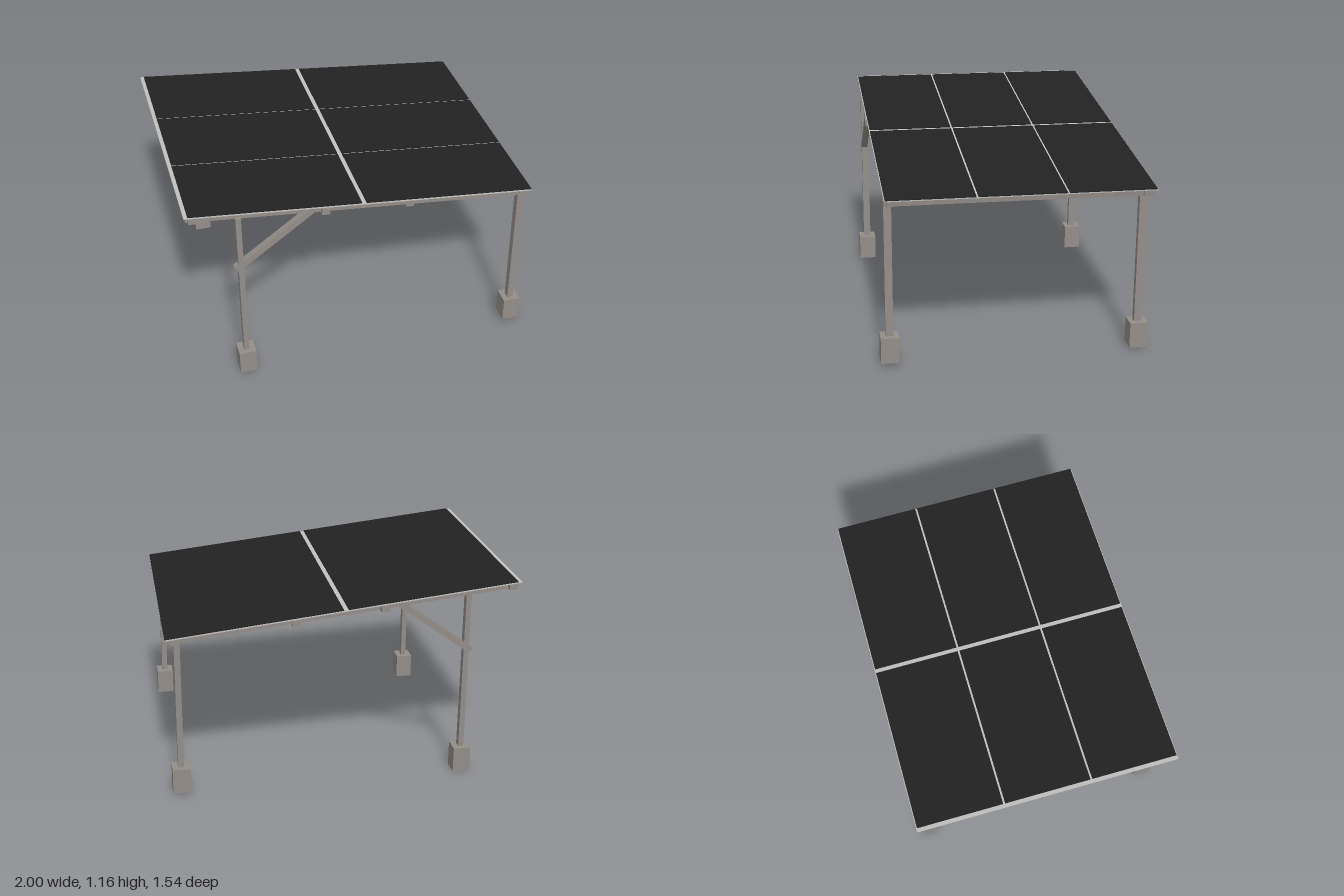
import * as THREE from 'three';

const steel = new THREE.MeshStandardMaterial({ color: 0x948e88 });
steel.name = 'warm grey steel';
const backing = new THREE.MeshStandardMaterial({ color: 0xc2c2c0 });
backing.name = 'light grey backing';
const glass = new THREE.MeshStandardMaterial({ color: 0x222222 });
glass.name = 'black panel';

function box(parent, name, material, size, position, tilt = 0) {
  const mesh = new THREE.Mesh(new THREE.BoxGeometry(...size), material);
  mesh.name = name;
  mesh.position.set(...position);
  mesh.rotation.z = tilt;
  parent.add(mesh);
  return mesh;
}

export function createModel() {
  const model = new THREE.Group();
  model.name = 'solarCanopy';

  // Whole structure sits slightly turned and out of level
  const frame = new THREE.Group();
  frame.name = 'canopyFrame';
  frame.rotation.set(-0.01, 0.0215, 0.008);
  model.add(frame);

  // Posts on square footings: tall pair on -x, short pair on +x
  const zMid = 0.012;
  for (const side of [1, -1]) {
    const z = zMid + side * 0.69;
    for (const [x, top, width] of [[-0.688, 1.1, 0.03], [0.922, 0.925, 0.033]]) {
      box(frame, 'footing', steel, [0.098, 0.146, 0.1], [x, 0.088, z]);
      box(frame, 'post', steel, [width, top - 0.15, 0.042], [x, (top + 0.15) / 2, z]);
    }

    // Diagonal brace from the tall post up to the side beam
    const a = new THREE.Vector2(-0.715, 0.757);
    const b = new THREE.Vector2(-0.28, 1.072);
    const d = b.clone().sub(a);
    box(frame, 'brace', steel, [d.length(), 0.036, 0.036],
      [(a.x + b.x) / 2, (a.y + b.y) / 2, z + side * 0.004], d.angle());
  }

  // Sloping roof; its local y = 0 is the panel top
  const roof = new THREE.Group();
  roof.name = 'roof';
  roof.position.set(0.008, 1.058, -0.01);
  roof.rotation.z = -0.113;
  frame.add(roof);

  // Backing sheet
  box(roof, 'panelBacking', backing, [1.975, 0.006, 1.465], [0, -0.008, 0]);

  // Two columns of three dark panels
  const rowPitch = 0.489;
  for (const [x0, x1] of [[-0.966, -0.013], [0.013, 0.987]]) {
    for (let row = -1; row <= 1; row++) {
      box(roof, 'solarPanel', glass, [x1 - x0, 0.006, rowPitch - 0.011],
        [(x0 + x1) / 2, -0.003, row * rowPitch]);
    }
  }

  // Side beams along the slope
  for (const side of [1, -1]) {
    box(roof, 'sideBeam', steel, [1.95, 0.034, 0.036], [0, -0.028, 0.01 + side * 0.688]);
  }

  // Cross beams: one at each end, two between
  for (const [x, y, size, length] of [
    [-0.94, -0.03, 0.036, 1.45],
    [-0.215, -0.032, 0.038, 1.47],
    [0.275, -0.044, 0.036, 1.42],
    [0.94, -0.03, 0.036, 1.45],
  ]) {
    box(roof, 'crossBeam', steel, [size + 0.008, size, length], [x, y, 0.005]);
  }

  return model;
}
